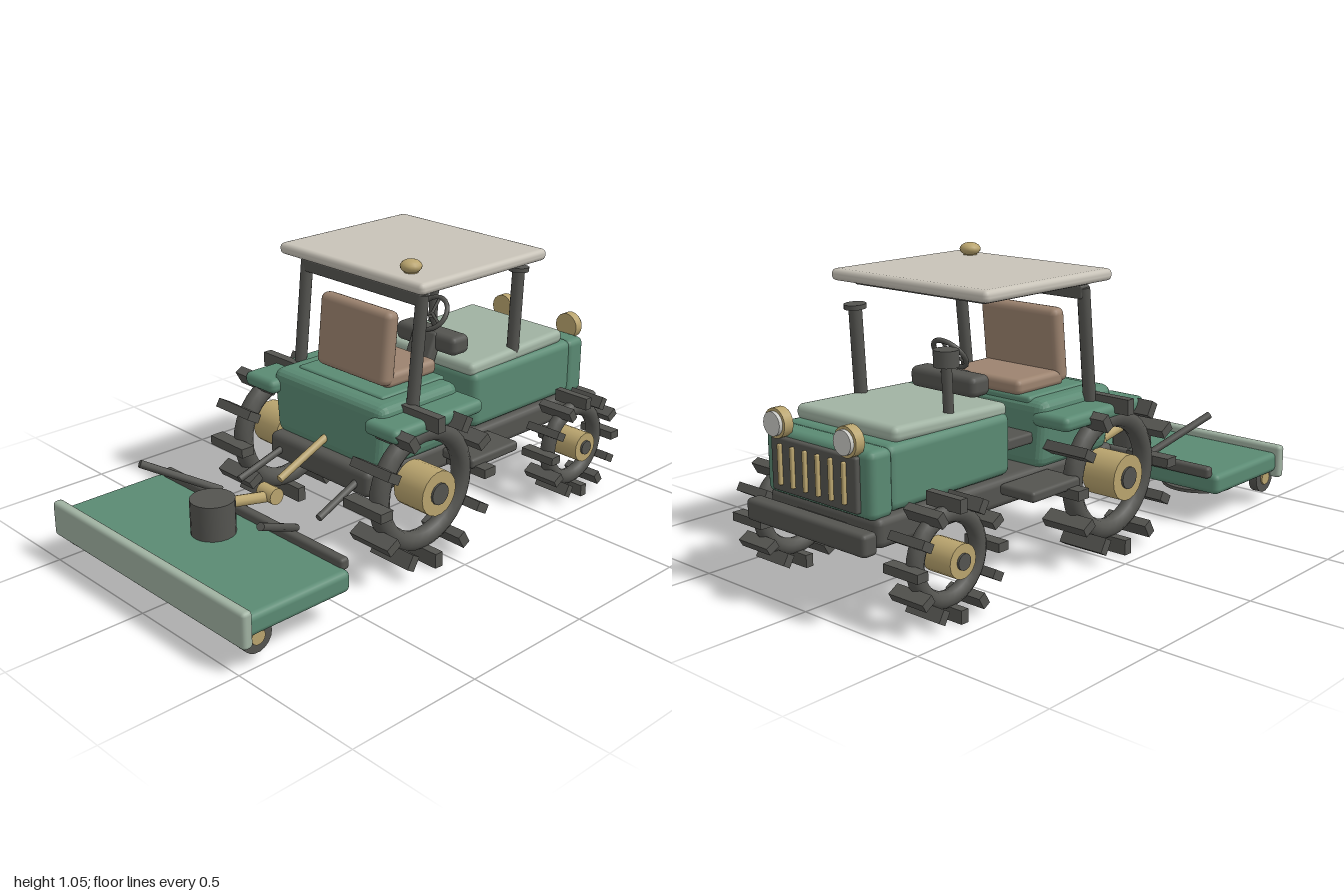
import * as THREE from 'three';
import { RoundedBoxGeometry } from 'three/addons/geometries/RoundedBoxGeometry.js';

function paint(name, color) {
  const m = new THREE.MeshStandardMaterial({ color });
  m.name = name;
  return m;
}

export function createModel() {
  const green = paint('body green', 0x5a8a73);
  const pale = paint('pale green', 0xa0b2a2);
  const dark = paint('dark grey', 0x545450);
  const cream = paint('roof cream', 0xc8c3b8);
  const brown = paint('seat brown', 0x9c836f);
  const gold = paint('brass', 0xb9a46e);
  const glass = paint('lamp glass', 0xc9c9c4);
  const root = new THREE.Group();
  root.name = 'tractorWithMower';

  function add(name, geo, mat, x = 0, y = 0, z = 0, parent = root) {
    const mesh = new THREE.Mesh(geo, mat);
    mesh.name = name;
    mesh.position.set(x, y, z);
    parent.add(mesh);
    return mesh;
  }
  // Rounded box given by its extents: [x0, x1], [y0, y1], [z0, z1]
  function block(name, mat, [x0, x1], [y0, y1], [z0, z1], r = 0.015, parent = root) {
    const geo = new RoundedBoxGeometry(x1 - x0, y1 - y0, z1 - z0, 2, r);
    return add(name, geo, mat, (x0 + x1) / 2, (y0 + y1) / 2, (z0 + z1) / 2, parent);
  }
  // Cylinder between two points
  function rod(name, mat, a, b, r, sides = 12, parent = root) {
    const p = new THREE.Vector3(...a), q = new THREE.Vector3(...b);
    const mesh = add(name, new THREE.CylinderGeometry(r, r, p.distanceTo(q), sides), mat, 0, 0, 0, parent);
    mesh.position.copy(p).add(q).multiplyScalar(0.5);
    mesh.quaternion.setFromUnitVectors(new THREE.Vector3(0, 1, 0), q.sub(p).normalize());
    return mesh;
  }

  // Chassis, bumper and middle bridge
  block('chassis', dark, [-0.26, 0.26], [0.24, 0.34], [-0.92, 0.24], 0.025);
  block('bumper', dark, [-0.28, 0.28], [0.24, 0.315], [-1.0, -0.94], 0.015);
  block('bumperMount', dark, [-0.12, 0.12], [0.255, 0.3], [-0.95, -0.9], 0.005);
  block('bridge', dark, [-0.24, 0.24], [0.42, 0.46], [-0.36, -0.15], 0.01);

  // Rear body, narrowing towards the bottom
  const rear = block('rearBody', green, [-0.29, 0.29], [0.325, 0.57], [-0.19, 0.2], 0.04);
  const pos = rear.geometry.attributes.position;
  for (let i = 0; i < pos.count; i++) {
    pos.setX(i, pos.getX(i) * (0.96 + 0.35 * pos.getY(i)));
  }
  rear.geometry.computeVertexNormals();
  block('seatPlatform', green, [-0.22, 0.22], [0.54, 0.578], [-0.18, 0.13], 0.012);

  // Engine hood and nose
  block('hood', green, [-0.25, 0.25], [0.34, 0.555], [-0.86, -0.305], 0.03);
  block('hoodTop', pale, [-0.235, 0.235], [0.542, 0.595], [-0.82, -0.305], 0.022).rotation.x = 0.03;
  block('nose', green, [-0.25, 0.25], [0.33, 0.55], [-0.935, -0.84], 0.025);
  block('grille', dark, [-0.2, 0.2], [0.35, 0.53], [-0.952, -0.92], 0.008);
  for (let i = 0; i < 6; i++) {
    const x = -0.15 + i * 0.06;
    block('grilleBar', gold, [x - 0.007, x + 0.007], [0.375, 0.51], [-0.964, -0.945], 0.004);
  }

  // Parts repeated on both sides
  for (const s of [-1, 1]) {
    rod('headlightRim', gold, [s * 0.165, 0.575, -0.925], [s * 0.165, 0.575, -0.96], 0.05, 20);
    rod('headlightGlass', glass, [s * 0.165, 0.575, -0.95], [s * 0.165, 0.575, -0.973], 0.04, 20);
    block('fender', green, [s * 0.315 - 0.08, s * 0.315 + 0.08], [0.482, 0.535], [-0.195, 0.24], 0.022);
    block('step', dark, [s * 0.33 - 0.075, s * 0.33 + 0.075], [0.287, 0.325], [-0.375, -0.13], 0.012);
    rod('roofPost', dark, [s * 0.29, 0.5, 0.06], [s * 0.29, 0.935, 0.015], 0.023);
    rod('linkArm', dark, [s * 0.195, 0.295, 0.21], [s * 0.212, 0.22, 0.42], 0.013, 8);
    rod('mowerStay', dark, [s * 0.325, 0.35, 0.76], [s * 0.2, 0.212, 0.51], 0.014, 8);
    rod('mowerWheel', dark, [s * 0.453, 0.095, 0.915], [s * 0.487, 0.095, 0.915], 0.058, 18);
    rod('mowerWheelHub', gold, [s * 0.446, 0.095, 0.915], [s * 0.494, 0.095, 0.915], 0.027, 14);
  }

  // Wheels: slim tyre ring, twelve lugs, brass hub on a dark axle
  function wheel(name, s, x, y, z, d) {
    const g = new THREE.Group();
    g.name = name;
    g.position.set(s * x, y, z);
    root.add(g);
    add('tyre', new THREE.TorusGeometry(d.ring, d.tube, 10, 32), dark, 0, 0, 0, g).rotation.y = Math.PI / 2;
    for (let i = 0; i < 12; i++) {
      const a = (i * Math.PI) / 6;
      const lug = add('lug', new THREE.BoxGeometry(d.lugWidth, d.lugHeight, d.lugThick), dark,
        0, Math.cos(a) * d.lugAt, Math.sin(a) * d.lugAt, g);
      lug.rotation.x = a;
    }
    rod('hub', gold, [-s * 0.05, 0, 0], [s * d.hubEnd, 0, 0], d.hub, 18, g);
    rod('axle', dark, [-s * 0.14, 0, 0], [s * (d.hubEnd + 0.008), 0, 0], d.hub * 0.48, 14, g);
  }
  for (const s of [-1, 1]) {
    wheel('rearWheel', s, 0.36, 0.28, 0.08, {
      ring: 0.2, tube: 0.036, lugWidth: 0.183, lugHeight: 0.055, lugThick: 0.034, lugAt: 0.252, hub: 0.082, hubEnd: 0.085 });
    wheel('frontWheel', s, 0.365, 0.2, -0.735, {
      ring: 0.138, tube: 0.029, lugWidth: 0.147, lugHeight: 0.045, lugThick: 0.03, lugAt: 0.178, hub: 0.057, hubEnd: 0.068 });
  }

  // Seat
  block('seatBase', dark, [-0.15, 0.15], [0.565, 0.59], [-0.17, 0.05], 0.008);
  block('seatCushion', brown, [-0.175, 0.175], [0.572, 0.627], [-0.185, 0.06], 0.02);
  block('seatBack', brown, [-0.178, 0.178], [0.582, 0.85], [0.012, 0.072], 0.025).rotation.x = -0.1;

  // Steering column, dashboard and wheel
  const column = block('steeringColumn', dark, [-0.06, 0.06], [0.465, 0.67], [-0.3, -0.255], 0.012);
  column.rotation.x = -0.43;
  block('dashboard', dark, [-0.15, 0.15], [0.595, 0.667], [-0.385, -0.295], 0.022);
  rod('steeringShaft', dark, [0, 0.65, -0.37], [0, 0.715, -0.335], 0.014, 8);
  const steer = new THREE.Group();
  steer.name = 'steeringWheel';
  steer.position.set(0, 0.722, -0.337);
  steer.rotation.x = -0.67;
  root.add(steer);
  add('steeringRim', new THREE.TorusGeometry(0.066, 0.009, 8, 24), dark, 0, 0, 0, steer);
  for (let i = 0; i < 3; i++) {
    const a = Math.PI / 2 + (i * Math.PI * 2) / 3;
    rod('steeringSpoke', dark, [0, 0, 0], [Math.cos(a) * 0.066, Math.sin(a) * 0.066, 0], 0.006, 6, steer);
  }

  // Exhaust stack and air intake
  rod('exhaust', dark, [0.212, 0.56, -0.55], [0.212, 0.88, -0.567], 0.023, 14);
  rod('exhaustCap', dark, [0.212, 0.883, -0.567], [0.212, 0.899, -0.568], 0.038, 16);
  rod('intakePipe', dark, [-0.2, 0.56, -0.55], [-0.2, 0.76, -0.56], 0.018, 12);
  rod('intakeHead', dark, [-0.2, 0.745, -0.56], [-0.2, 0.8, -0.56], 0.042, 16);

  // Roof and beacon
  block('roofBeam', dark, [-0.3, 0.3], [0.897, 0.945], [-0.008, 0.038], 0.008);
  block('roofLining', dark, [-0.3, 0.3], [0.944, 0.965], [-0.49, 0.045], 0.008);
  block('roof', cream, [-0.36, 0.36], [0.958, 1.0], [-0.545, 0.09], 0.018);
  add('beacon', new THREE.SphereGeometry(0.038, 16, 10), gold, 0.23, 1.021, 0.01).scale.y = 0.63;
  rod('beaconBase', gold, [0.23, 0.995, 0.01], [0.23, 1.012, 0.01], 0.025, 14);

  // Hitch
  rod('topLink', gold, [0, 0.385, 0.19], [0, 0.288, 0.41], 0.014, 8);
  rod('driveJoint', gold, [-0.038, 0.25, 0.455], [0.038, 0.25, 0.455], 0.03, 14);
  rod('driveShaft', gold, [0, 0.24, 0.455], [0, 0.283, 0.67], 0.02, 10);

  // Mower
  block('mowerDeck', green, [-0.51, 0.51], [0.112, 0.19], [0.545, 0.97], 0.022);
  block('mowerFrontPlate', pale, [-0.525, 0.525], [0.088, 0.217], [0.957, 0.996], 0.014);
  block('mowerRearBar', dark, [-0.48, 0.48], [0.175, 0.218], [0.525, 0.562], 0.012);
  rod('mowerMotor', dark, [0, 0.18, 0.7], [0, 0.314, 0.7], 0.077, 20);
  for (const x of [-0.3, 0, 0.3]) {
    rod('bladeDisc', dark, [x, 0.078, 0.735], [x, 0.09, 0.735], 0.14, 28);
    rod('bladeSpindle', dark, [x, 0.085, 0.735], [x, 0.12, 0.735], 0.03, 10);
  }
  return root;
}
